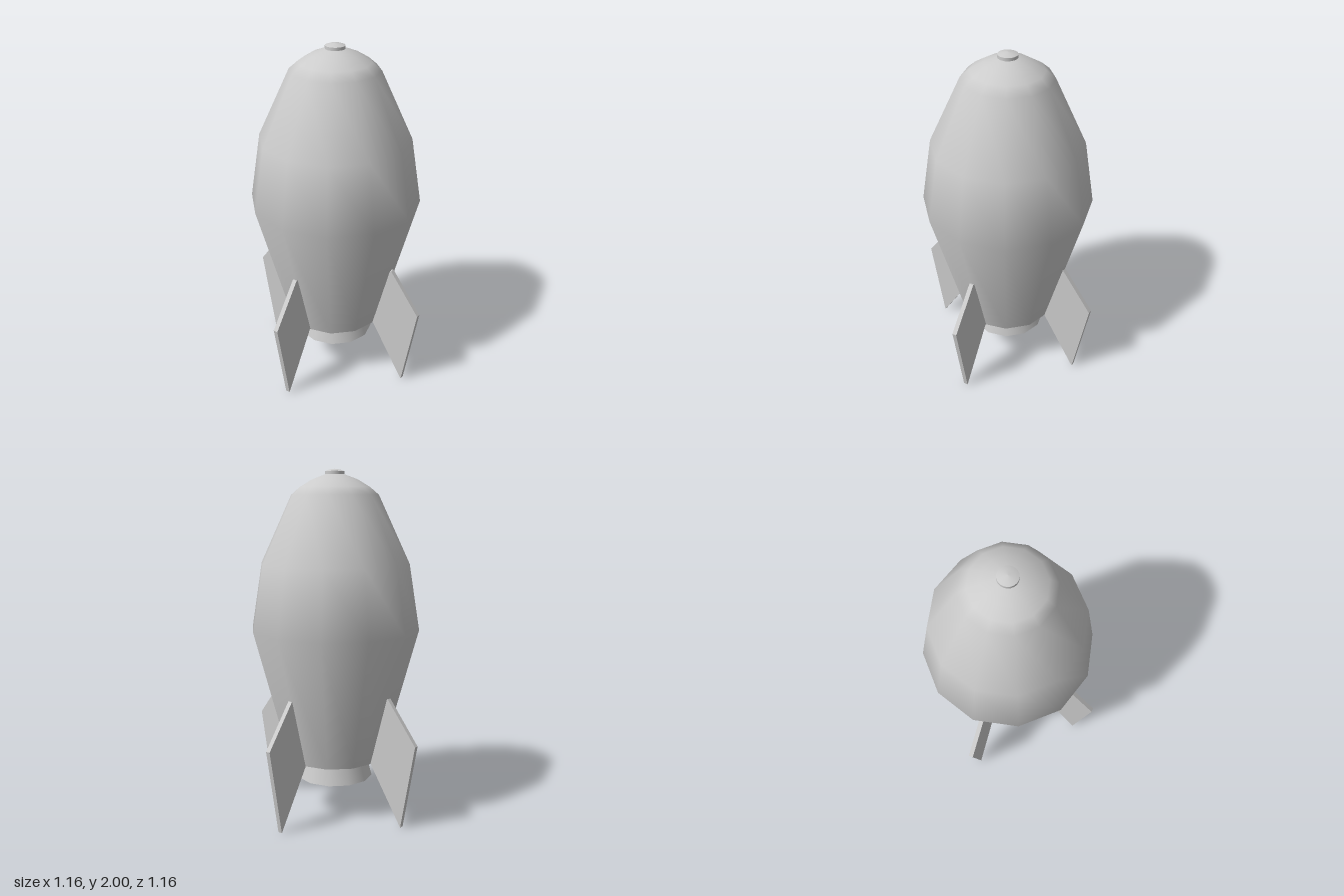
import * as THREE from 'three';
import { mergeGeometries } from 'three/addons/utils/BufferGeometryUtils.js';

const material = new THREE.MeshStandardMaterial({ color: 0xcccccc });

// Revolves several profiles; each is smooth in itself, with a hard edge between them
function revolve(name, sides, ...profiles) {
  const parts = profiles.map((profile) =>
    new THREE.LatheGeometry(profile.map(([r, y]) => new THREE.Vector2(r, y)), sides));
  const mesh = new THREE.Mesh(mergeGeometries(parts), material);
  mesh.name = name;
  return mesh;
}

export function createModel() {
  const model = new THREE.Group();
  model.name = 'rocket';

  // Twelve-sided hull, flat underside, nozzle and nose cap share one axis
  const hull = new THREE.Group();
  hull.name = 'hull';
  hull.position.set(-0.003, 0, -0.004);
  hull.add(revolve('body', 12,
    [[0, 0.333], [0.283, 0.333]],
    [[0.283, 0.333], [0.489, 1.097], [0.428, 1.475], [0.25, 1.857], [0.2, 1.9],
      [0.13, 1.942], [0.055, 1.97], [0, 1.975]]));

  // Flared nozzle: hollow inside, flat rim, outer skirt
  hull.add(revolve('nozzle', 12,
    [[0.09, 0.333], [0.18, 0.21]],
    [[0.18, 0.21], [0.224, 0.21]],
    [[0.224, 0.21], [0.206, 0.275], [0.192, 0.335]]));

  // Small button at the tip
  hull.add(revolve('noseCap', 20,
    [[0.055, 1.965], [0.055, 1.987]],
    [[0.055, 1.987], [0.03, 1.996], [0, 2]]));
  model.add(hull);

  // Four swept fins, rooted just inside the body
  const outline = [[0.385, 0.735], [0.395, 0.738], [0.58, 0.495], [0.492, 0], [0.283, 0.333], [0.272, 0.34]];
  const finShape = new THREE.Shape(outline.map(([x, y]) => new THREE.Vector2(x, y)));
  const finGeometry = new THREE.ExtrudeGeometry(finShape, { depth: 0.026, bevelEnabled: false });
  finGeometry.translate(0, 0, -0.013);
  ['leftFin', 'backFin', 'rightFin', 'frontFin'].forEach((name, i) => {
    const fin = new THREE.Mesh(finGeometry, material);
    fin.name = name;
    fin.rotation.y = i * Math.PI / 2;
    if (i % 2 === 0) fin.position.z = -0.01;
    model.add(fin);
  });
  return model;
}
